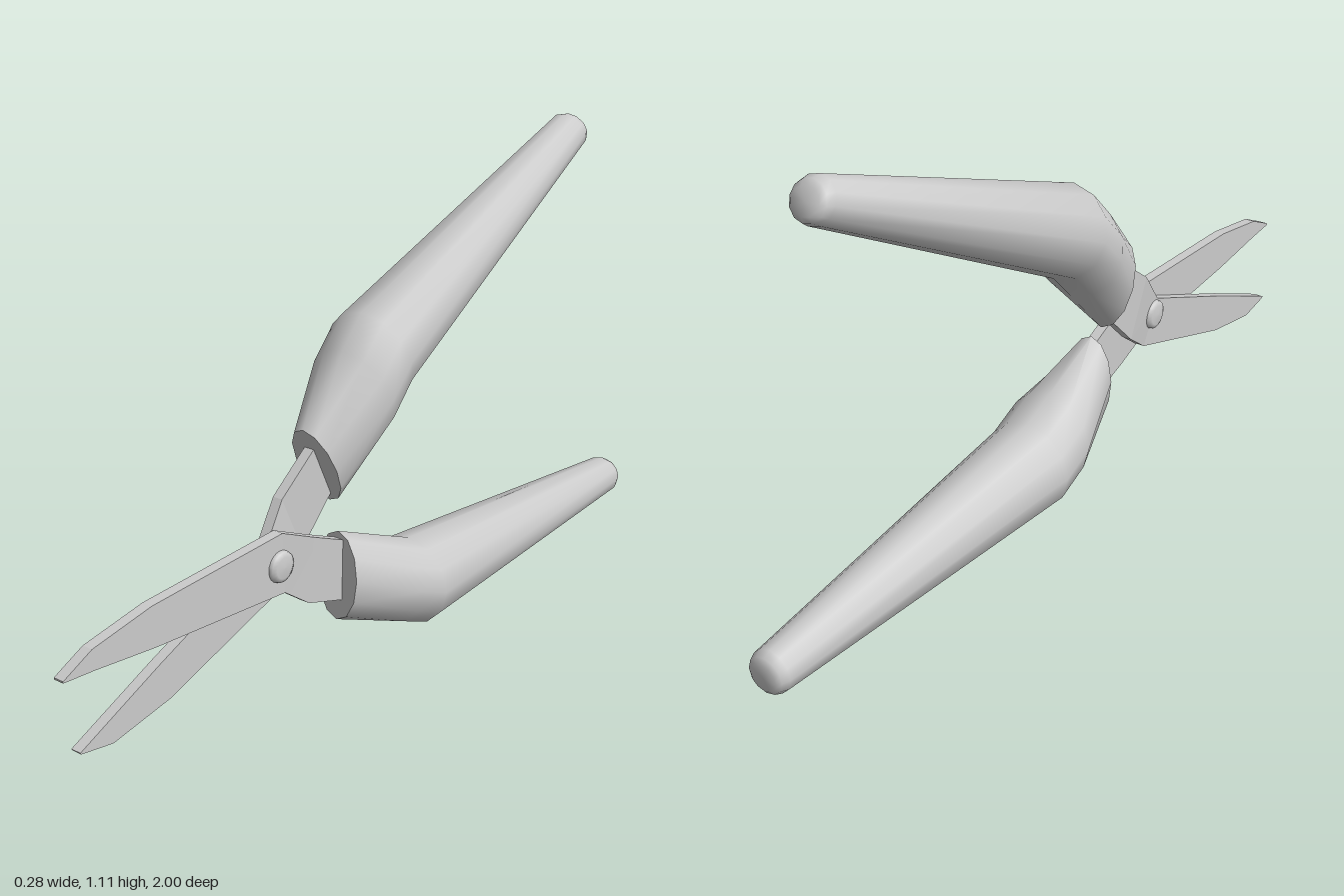
import * as THREE from 'three';
import { toCreasedNormals } from 'three/addons/utils/BufferGeometryUtils.js';

const material = new THREE.MeshStandardMaterial({ color: 0xcccccc });

// Skin a list of equal-length rings (ordered front to back) and cap both ends
function loft(rings, crease) {
  const pos = [];
  const tri = (...pts) => pts.forEach((p) => pos.push(p.x, p.y, p.z));
  const n = rings[0].length;
  const middle = (ring) => ring.reduce((s, p) => s.add(p), new THREE.Vector3()).divideScalar(n);
  const first = rings[0], last = rings[rings.length - 1];
  const c0 = middle(first), c1 = middle(last);
  for (let k = 0; k < n; k++) {
    const m = (k + 1) % n;
    for (let i = 0; i < rings.length - 1; i++) {
      const a = rings[i], b = rings[i + 1];
      tri(a[k], a[m], b[k]);
      tri(a[m], b[m], b[k]);
    }
    tri(c0, first[m], first[k]);
    tri(c1, last[k], last[m]);
  }
  const g = new THREE.BufferGeometry();
  g.setAttribute('position', new THREE.Float32BufferAttribute(pos, 3));
  return toCreasedNormals(g, crease);
}

function addMesh(group, name, geometry) {
  const mesh = new THREE.Mesh(geometry, material);
  mesh.name = name;
  group.add(mesh);
  return mesh;
}

// Oval section between a top and a bottom point (z, y), with half width w
function oval([zt, yt, zb, yb, w], cx, sides = 12) {
  return Array.from({ length: sides }, (_, k) => {
    const t = (k / sides) * Math.PI * 2, c = Math.cos(t) / 2;
    return new THREE.Vector3(
      cx + w * Math.sin(t), (yt + yb) / 2 + (yt - yb) * c, (zt + zb) / 2 + (zt - zb) * c);
  });
}

// Flat plate section: top and bottom point (z, y), centred at x
function slab([zt, yt, zb, yb, x], side) {
  const h = 0.013, cx = side * x;
  return [
    new THREE.Vector3(cx - h, yt, zt), new THREE.Vector3(cx + h, yt, zt),
    new THREE.Vector3(cx + h, yb, zb), new THREE.Vector3(cx - h, yb, zb),
  ];
}

// Each half: blade stations [zTop, yTop, zBottom, yBottom, x], handle stations [.., halfWidth]
const halves = [
  {
    name: 'left', side: 1,
    blade: [
      [1, 0.336, 1, 0.332, 0.013],
      [0.922, 0.372, 0.92, 0.324, 0.013],
      [0.757, 0.398, 0.752, 0.302, 0.013],
      [0.36, 0.41, 0.355, 0.265, 0.013],
      [0.27, 0.371, 0.29, 0.217, 0.026],
      [0.12, 0.305, 0.12, 0.16, 0.026],
    ],
    handle: [
      [0.17, 0.345, 0.178, 0.125, 0.057],
      [-0.006, 0.268, -0.006, 0.046, 0.114],
      [-0.094, 0.23, -0.094, 0.008, 0.114],
      [-0.975, 0.143, -0.975, 0.04, 0.052],
      [-0.993, 0.134, -0.993, 0.048, 0.045],
      [-1, 0.12, -1, 0.058, 0.034],
    ],
  },
  {
    name: 'right', side: -1,
    blade: [
      [0.947, 0.141, 0.945, 0.137, 0.013],
      [0.87, 0.174, 0.858, 0.12, 0.013],
      [0.72, 0.238, 0.693, 0.147, 0.013],
      [0.39, 0.37, 0.33, 0.262, 0.013],
      [0.315, 0.463, 0.25, 0.32, 0.026],
      [0.16, 0.58, 0.1, 0.47, 0.026],
    ],
    handle: [
      [0.23, 0.596, 0.139, 0.398, 0.059],
      [0.091, 0.741, 0.009, 0.538, 0.114],
      [0.023, 0.813, -0.056, 0.607, 0.114],
      [-0.79, 1.122, -0.832, 1.032, 0.052],
      [-0.81, 1.12, -0.845, 1.042, 0.045],
      [-0.823, 1.11, -0.848, 1.056, 0.034],
    ],
  },
];

export function createModel() {
  const model = new THREE.Group();
  model.name = 'shears';

  for (const { name, side, blade, handle } of halves) {
    const half = new THREE.Group();
    half.name = name + 'Half';
    addMesh(half, name + 'Blade', loft(blade.map((s) => slab(s, side)), 0.1));
    addMesh(half, name + 'Handle', loft(handle.map((s) => oval(s, side * 0.024)), 0.9));
    model.add(half);
  }

  // Pivot screw with rounded heads on both sides
  const profile = [
    [0, -0.041], [0.025, -0.04], [0.035, -0.035], [0.037, -0.026],
    [0.037, 0.026], [0.035, 0.035], [0.025, 0.04], [0, 0.041],
  ].map(([r, y]) => new THREE.Vector2(r, y));
  const screw = addMesh(model, 'pivotScrew', new THREE.LatheGeometry(profile, 20));
  screw.rotation.z = Math.PI / 2;
  screw.position.set(0, 0.335, 0.37);

  return model;
}
